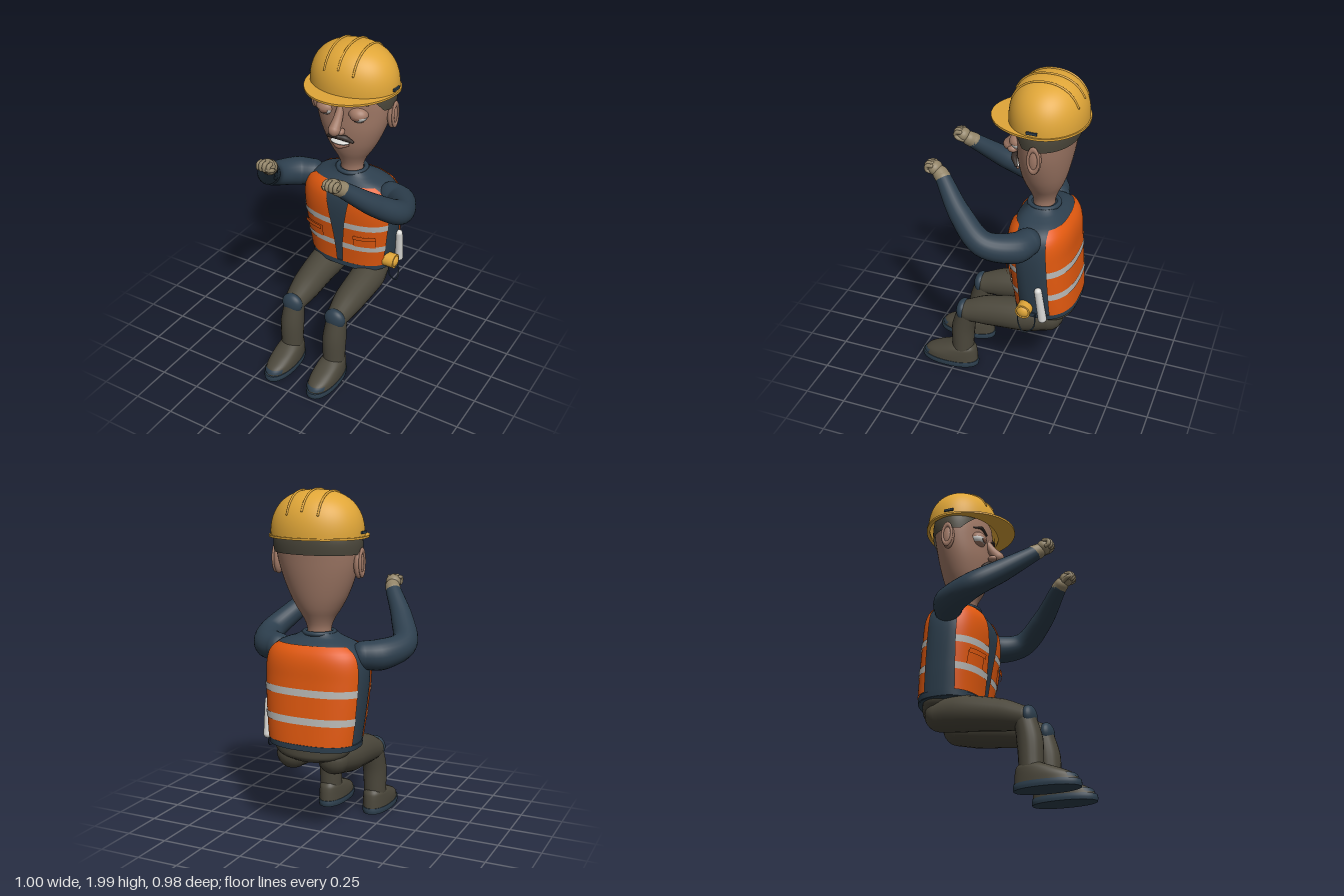
import * as THREE from 'three';
import { mergeGeometries } from 'three/addons/utils/BufferGeometryUtils.js';

const mat = (name, color, side = THREE.FrontSide) => {
  const m = new THREE.MeshStandardMaterial({ color, side });
  m.name = name;
  return m;
};

// Smooth interpolation of cross-sections [y, rx, rz, zCentre]
function sectionAt(S, y) {
  let i = 0;
  while (i < S.length - 2 && y > S[i + 1][0]) i++;
  const a = S[i], b = S[i + 1], p = S[Math.max(i - 1, 0)], q = S[Math.min(i + 2, S.length - 1)];
  const h = b[0] - a[0], t = (y - a[0]) / h, t2 = t * t, t3 = t2 * t;
  return [1, 2, 3].map((k) => {
    const ma = (b[k] - p[k]) / (b[0] - p[0]) * h, mb = (q[k] - a[k]) / (q[0] - a[0]) * h;
    return (2 * t3 - 3 * t2 + 1) * a[k] + (t3 - 2 * t2 + t) * ma + (3 * t2 - 2 * t3) * b[k] + (t3 - t2) * mb;
  });
}

// Part of a lofted body between two heights and two angles (0 = front, + = toward +x)
function patch(S, { y0 = S[0][0], y1 = S[S.length - 1][0], a0, a1, off = 0, n = 2, rows = 32, cols = 48 }) {
  const closed = !a0, pos = [], idx = [], ys = [];
  for (let r = 0; r <= rows; r++) ys.push([y0 + (y1 - y0) * r / rows, 1]);
  if (closed) {
    ys.unshift([y0, 0], [y0, 1]);
    ys.push([y1, 1], [y1, 0]);
  }
  for (const [y, k] of ys) {
    const [rx, rz, zc] = sectionAt(S, y);
    const s = closed ? -Math.PI : a0(y), e = closed ? Math.PI : a1(y);
    for (let c = 0; c <= cols; c++) {
      const t = s + (e - s) * c / cols, sn = Math.sin(t), cs = Math.cos(t);
      pos.push(k * (rx + off) * Math.sign(sn) * Math.abs(sn) ** (2 / n), y,
        zc + k * (rz + off) * Math.sign(cs) * Math.abs(cs) ** (2 / n));
    }
  }
  const w = cols + 1;
  for (let r = 0; r < ys.length - 1; r++) for (let c = 0; c < cols; c++) {
    const a = r * w + c;
    idx.push(a, a + 1, a + w, a + 1, a + w + 1, a + w);
  }
  const g = new THREE.BufferGeometry();
  g.setAttribute('position', new THREE.Float32BufferAttribute(pos, 3));
  g.setIndex(idx);
  g.computeVertexNormals();
  if (closed) for (let r = 0; r < ys.length; r++) { // hide the seam
    const N = g.attributes.normal, v = new THREE.Vector3().fromBufferAttribute(N, r * w);
    v.add(new THREE.Vector3().fromBufferAttribute(N, r * w + cols)).normalize();
    N.setXYZ(r * w, v.x, v.y, v.z);
    N.setXYZ(r * w + cols, v.x, v.y, v.z);
  }
  return g;
}

// Tapered tube with round ends through points [x, y, z, radius]
function limb(pts, seg = 24, rad = 20) {
  const curve = new THREE.CatmullRomCurve3(pts.map((p) => new THREE.Vector3(p[0], p[1], p[2])));
  const g = new THREE.TubeGeometry(curve, seg, 1, rad), P = g.attributes.position, v = new THREE.Vector3();
  for (let i = 0; i < P.count; i++) {
    const u = Math.floor(i / (rad + 1)) / seg, c = curve.getPointAt(u);
    const t = curve.getUtoTmapping(u) * (pts.length - 1), k = Math.min(Math.floor(t), pts.length - 2);
    const r = THREE.MathUtils.lerp(pts[k][3], pts[k + 1][3], t - k);
    v.fromBufferAttribute(P, i).sub(c).multiplyScalar(r).add(c);
    P.setXYZ(i, v.x, v.y, v.z);
  }
  const ends = [pts[0], pts[pts.length - 1]].map((p) => new THREE.SphereGeometry(p[3], rad, 12).translate(p[0], p[1], p[2]));
  return mergeGeometries([g, ...ends]);
}

const ball = (x, y, z, rx, ry, rz, ...arc) => new THREE.SphereGeometry(1, 28, 18, ...arc).scale(rx, ry, rz).translate(x, y, z);

export function createModel() {
  const root = new THREE.Group();
  const D = THREE.DoubleSide;
  const yellow = mat('helmet yellow', 0xe0a638, D), orange = mat('vest orange', 0xe2590f, D);
  const navy = mat('navy cloth', 0x2d3f4e), olive = mat('dark olive cloth', 0x4b473b, D);
  const skin = mat('skin', 0xa37b68), glove = mat('glove tan', 0x928468);
  const silver = mat('reflective silver', 0xb9b9b6, D), white = mat('white', 0xd9d9d6);
  const dark = mat('dark brown', 0x352c28), lid = mat('eyelid', 0x8a6150);
  const add = (name, geo, m) => {
    const mesh = new THREE.Mesh(geo, m);
    mesh.name = name;
    root.add(mesh);
    return mesh;
  };

  // Torso
  const T = [[.565, .26, .18, -.3], [.6, .266, .18, -.3], [.75, .283, .183, -.285], [.95, .297, .186, -.265],
    [1.05, .29, .182, -.262], [1.11, .265, .163, -.262], [1.15, .215, .13, -.26], [1.18, .13, .095, -.25], [1.2, .1, .085, -.25]];
  const n = 2.5;
  add('torso', patch(T, { n, rows: 50 }), navy);
  add('hem', patch(T, { n, y0: .566, y1: .598, off: .006, rows: 3 }), navy);
  add('collar', new THREE.TorusGeometry(.085, .014, 12, 36).rotateX(Math.PI / 2).translate(0, 1.197, -.25), navy);

  // Vest, with its edges given as x or z limits on the torso surface
  const lerp = THREE.MathUtils.lerp;
  const atX = (fx) => (y) => Math.asin(Math.min(1, (fx(y) / sectionAt(T, y)[0]) ** (n / 2)));
  const atZ = (fz) => (y) => {
    const [, rz, zc] = sectionAt(T, y), q = THREE.MathUtils.clamp((fz(y) - zc) / rz, -1, 1);
    return Math.acos(Math.sign(q) * Math.abs(q) ** (n / 2));
  };
  const k = (y) => (y - .6) / .54;
  const opening = atX((y) => lerp(.018, .09, Math.max(0, k(y)) ** 1.7));
  const frontSide = atZ((y) => lerp(-.205, -.175, k(y))), backSide = atZ((y) => lerp(-.375, -.34, k(y)));
  const panels = { vestLeftFront: [opening, frontSide], vestBack: [backSide, (y) => 2 * Math.PI - backSide(y)],
    vestRightFront: [(y) => -frontSide(y), (y) => -opening(y)] };
  for (const [name, [a0, a1]] of Object.entries(panels)) {
    add(name, patch(T, { n, a0, a1, y0: .6, y1: 1.145, off: .008 }), orange);
    for (const y of [.715, .872]) add(name + 'Stripe', patch(T, { n, a0, a1, y0: y, y1: y + .04, off: .012, rows: 3 }), silver);
  }
  for (const s of [1, -1]) {
    const [i, o] = [atX(() => .1), atX(() => .22)];
    const a0 = s > 0 ? i : (y) => -o(y), a1 = s > 0 ? o : (y) => -i(y);
    add('pocket', patch(T, { n, a0, a1, y0: .752, y1: .835, off: .016, rows: 4, cols: 8 }), orange);
    add('pocketFlap', patch(T, { n, a0, a1, y0: .812, y1: .84, off: .03, rows: 3, cols: 8 }), orange);
  }

  // Head and neck
  const H = [[1.17, .068, .062, -.25], [1.23, .071, .065, -.25], [1.28, .092, .083, -.25], [1.33, .125, .107, -.25],
    [1.4, .165, .13, -.25], [1.5, .207, .15, -.253], [1.6, .235, .16, -.26], [1.7, .248, .167, -.265], [1.78, .235, .16, -.265]];
  add('head', patch(H, {}), skin);
  const hairEdge = (y) => lerp(1.15, .55, (y - 1.645) / .115);
  add('hair', patch(H, { a0: hairEdge, a1: (y) => 2 * Math.PI - hairEdge(y), y0: 1.645, y1: 1.76, off: .012, rows: 8 }), olive);
  add('nose', limb([[0, 1.65, -.115, .02], [0, 1.58, -.075, .028], [0, 1.53, -.038, .036]]), skin);
  add('teeth', ball(0, 1.43, -.105, .06, .014, .035), white);
  add('lowerLip', limb([[-.05, 1.415, -.105, .008], [0, 1.405, -.085, .012], [.05, 1.415, -.105, .008]]), lid);
  for (const s of [1, -1]) {
    add('nostril', ball(s * .028, 1.515, -.065, .022, .02, .028), skin);
    add('moustache', limb([[s * .008, 1.475, -.07, .015], [s * .045, 1.47, -.082, .018], [s * .08, 1.445, -.105, .009]]), dark);
    add('eye', ball(s * .105, 1.615, -.128, .054, .042, .046), white);
    add('upperLid', ball(s * .105, 1.616, -.128, .059, .047, .051, 0, Math.PI * 2, 0, Math.PI * .52), skin);
    add('lowerLid', ball(s * .105, 1.615, -.127, .057, .045, .046, 0, Math.PI * 2, Math.PI * .72, Math.PI * .28), skin);
    add('iris', ball(s * .103, 1.607, -.088, .028, .017, .009), lid);
    add('eyebrow', limb([[s * .05, 1.675, -.097, .007], [s * .1, 1.697, -.108, .01], [s * .155, 1.68, -.138, .006]]), dark);
    add('ear', ball(s * .245, 1.595, -.265, .027, .083, .038), skin);
    add('earFold', new THREE.TorusGeometry(.03, .008, 8, 24).scale(1, 2.2, 1).rotateY(Math.PI / 2).translate(s * .265, 1.6, -.265), skin);
  }

  // Helmet
  const hat = { x: .268, z: .217, h: .25, y: 1.735, zc: -.267, p: 2.35 };
  const dome = (f) => (1 - Math.min(1, f) ** hat.p) ** (1 / hat.p);
  const profile = Array.from({ length: 33 }, (_, i) => {
    const f = Math.cos(i / 32 * Math.PI / 2);
    return new THREE.Vector2(i === 32 ? 0 : f, dome(f));
  });
  add('helmetDome', new THREE.LatheGeometry(profile, 64).scale(hat.x, hat.h, hat.z).translate(0, hat.y, hat.zc), yellow);
  const brim = new THREE.Shape();
  brim.absellipse(0, 0, .277, .322, Math.PI, 2 * Math.PI, false);
  brim.absellipse(0, 0, .277, .224, 0, Math.PI, false);
  brim.holes.push(new THREE.Path().absellipse(0, 0, .255, .204, 0, Math.PI * 2, true));
  add('helmetBrim', new THREE.ExtrudeGeometry(brim, { depth: .012, bevelEnabled: false, curveSegments: 40 })
    .rotateX(-Math.PI / 2).translate(0, 1.728, hat.zc), yellow);
  for (const x of [-.092, 0, .092]) {
    const pts = [];
    for (let i = 0; i <= 16; i++) {
      const z = lerp(-.19, .19, i / 16) * (x ? .97 : 1);
      pts.push([x, hat.y + hat.h * dome(Math.hypot(x / hat.x, z / hat.z)) + .002, hat.zc + z, .006]);
    }
    add('helmetRidge', limb(pts, 32, 8), yellow);
  }
  for (const s of [1, -1]) add('helmetClip', new THREE.BoxGeometry(.012, .014, .06).translate(s * .27, 1.762, -.255), navy);

  // Hips
  add('hips', patch([[.485, .12, .07, -.36], [.51, .19, .105, -.36], [.55, .23, .125, -.345], [.6, .24, .135, -.33]], { rows: 12 }), olive);

  // Shoe sections
  const shoe = [[.035, .081, .178, .295], [.07, .08, .166, .285], [.1, .075, .135, .257], [.125, .067, .1, .228], [.145, .05, .068, .21]];
  const sole = [[0, .083, .185, .298], [.018, .086, .188, .298], [.036, .084, .185, .298]];

  for (const s of [1, -1]) {
    const side = (pts) => pts.map(([x, ...r]) => [s * x, ...r]);

    // Legs and feet
    add('thigh', limb(side([[.13, .5, -.33, .095], [.15, .487, -.2, .106], [.15, .445, .05, .09], [.15, .412, .17, .068]])), olive);
    add('shin', limb(side([[.15, .41, .178, .062], [.15, .28, .205, .073], [.15, .13, .212, .068]])), olive);
    add('kneePad', ball(s * .15, .415, .203, .068, .066, .042), navy);
    add('shoe', patch(shoe, { n: 2.2, rows: 16 }).translate(s * .15, 0, 0), olive);
    add('sole', patch(sole, { n: 2.2, rows: 6 }).translate(s * .15, 0, 0), navy);
    add('toeTrim', patch(shoe, { n: 2.2, y0: .045, y1: .068, off: .006, rows: 4, a0: () => -.75, a1: () => .75 }).translate(s * .15, 0, 0), navy);

    // Arms and gloved fists
    add('arm', limb(side([[.27, 1.085, -.24, .08], [.35, 1.088, -.2, .088], [.425, 1.125, -.04, .074],
      [.35, 1.232, .12, .064], [.23, 1.375, .272, .045]]), 36, 24), navy);
    add('gloveCuff', limb(side([[.232, 1.375, .27, .046], [.218, 1.39, .292, .044]]), 4), glove);
    add('palm', ball(s * .21, 1.415, .325, .046, .042, .04), glove);
    for (let i = 0; i < 4; i++) {
      const x = .178 + i * .022, d = i === 0 || i === 3 ? -.006 : 0;
      add('finger', limb(side([[x, 1.447 + d, .335, .012], [x, 1.442 + d, .367 + d, .013], [x, 1.412, .37 + d, .012], [x, 1.402, .348, .01]]), 12, 10), glove);
    }
    add('thumb', limb(side([[.178, 1.395, .32, .014], [.166, 1.41, .35, .013], [.182, 1.42, .372, .01]]), 10, 10), glove);
  }

  // Hip tools on the left side
  add('flask', limb([[.288, .59, -.345, .026], [.295, .78, -.318, .022]], 8), white);
  add('tapeMeasure', new THREE.CylinderGeometry(.045, .045, .07, 28).rotateZ(Math.PI / 2).translate(.285, .63, -.235), yellow);
  add('tapeMeasureFace', ball(.3, .63, -.235, .035, .043, .043), yellow);
  add('cord', limb([[.29, .6, -.2, .004], [.3, .545, -.2, .004], [.325, .49, -.245, .004], [.31, .53, -.3, .004], [.285, .6, -.3, .004]], 28, 8), navy);
  return root;
}
